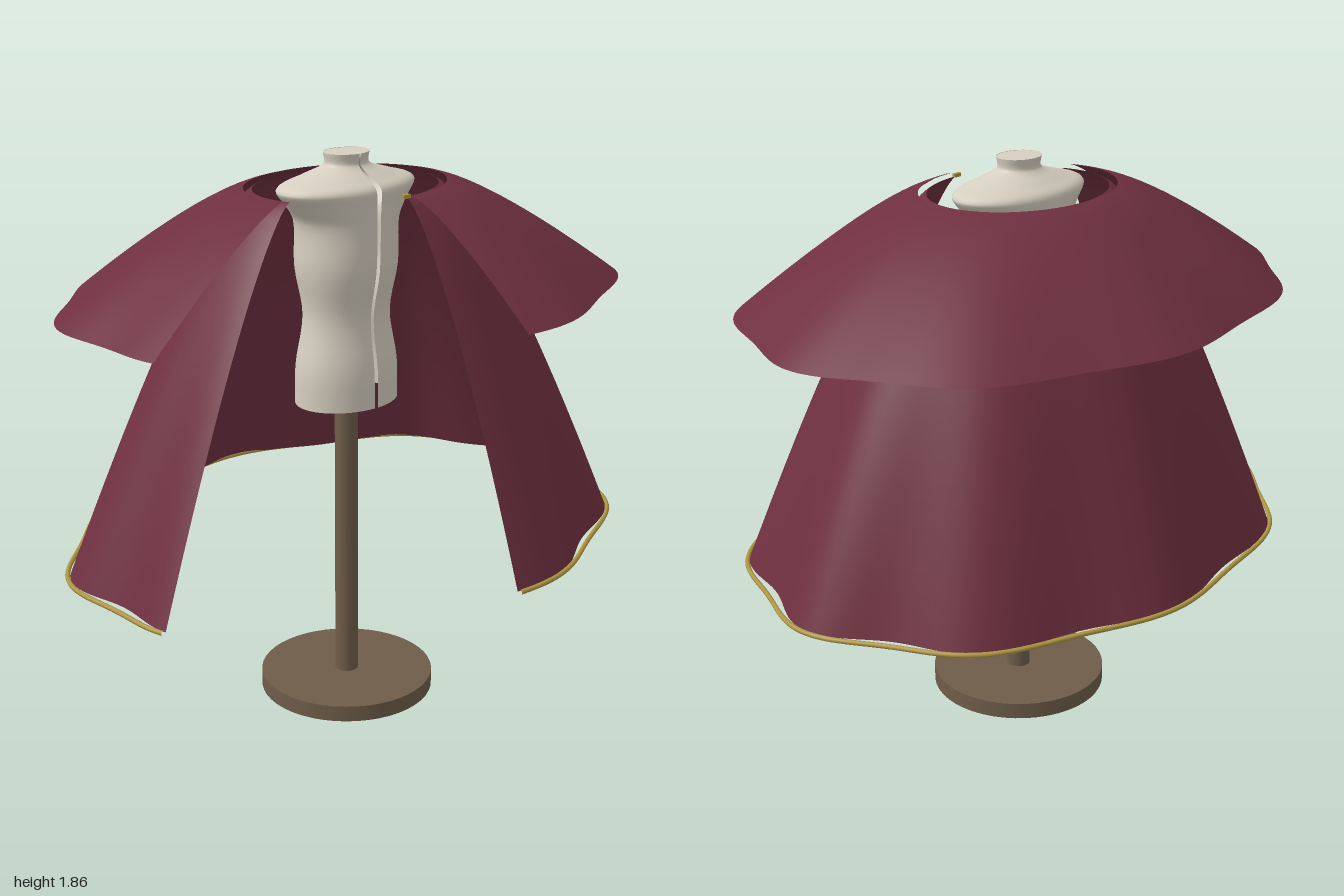
import * as THREE from 'three';

const CX = -0.02;         // stand axis
const SWEEP = 5.0;        // garment wraps from the front, round the left and back, to the right

const mat = (name, color, side = THREE.FrontSide) => {
  const m = new THREE.MeshStandardMaterial({ color, side });
  m.name = name;
  return m;
};

// Smooth sheet: point(s, t) with s running top to bottom and t the angle from the front
function sheet(point, sweep, cols, rows) {
  const pos = [], idx = [];
  for (let j = 0; j <= rows; j++) {
    for (let i = 0; i <= cols; i++) pos.push(...point(j / rows, (i / cols) * sweep));
  }
  for (let j = 0; j < rows; j++) {
    for (let i = 0; i < cols; i++) {
      const a = j * (cols + 1) + i, b = a + 1, c = a + cols + 1, d = c + 1;
      idx.push(a, c, b, b, c, d);
    }
  }
  const g = new THREE.BufferGeometry();
  g.setAttribute('position', new THREE.Float32BufferAttribute(pos, 3));
  g.setIndex(idx);
  g.computeVertexNormals();
  return g;
}

// Oval ring position
const oval = (a, b, y, t) => [CX + a * Math.sin(t), y, b * Math.cos(t)];
// Wavy hem factor
const wave = (t, mean, amp) => mean + amp * Math.sin(9 * t);

export function createModel() {
  const group = new THREE.Group();
  const cloth = mat('burgundy cloth', 0x6f3040, THREE.DoubleSide);
  const linen = mat('cream linen', 0xd6cec0, THREE.DoubleSide);
  const wood = mat('brown wood', 0x6e5c49);
  const gold = mat('gold trim', 0xae9642);

  const add = (name, geometry, material, x = 0, y = 0, z = 0) => {
    const m = new THREE.Mesh(geometry, material);
    m.name = name;
    m.position.set(x, y, z);
    group.add(m);
    return m;
  };

  // Stand
  add('standBase', new THREE.CylinderGeometry(0.295, 0.295, 0.055, 48), wood, CX, 0.0275, 0);
  add('standPole', new THREE.CylinderGeometry(0.039, 0.039, 1.1, 24), wood, CX, 0.6, 0);

  // Dress form: oval sections given as [half width, height, half depth]
  const form = new THREE.CatmullRomCurve3([
    [0.08, 1.862, 0.066], [0.077, 1.83, 0.062], [0.09, 1.818, 0.07],
    [0.18, 1.79, 0.115], [0.265, 1.758, 0.158], [0.225, 1.71, 0.157],
    [0.182, 1.65, 0.155], [0.18, 1.5, 0.152], [0.156, 1.34, 0.125],
    [0.184, 1.17, 0.145], [0.186, 1.045, 0.148],
  ].map(p => new THREE.Vector3(...p)), false, 'centripetal');
  const torso = (s, t) => {
    const p = form.getPoint(s);
    return oval(p.x, p.z, p.y, t);
  };
  // a narrow seam stays open at the front
  add('dressForm', sheet(torso, Math.PI * 2 - 0.08, 72, 50), linen);
  const cap = add('neckCap', new THREE.CircleGeometry(1, 40), linen, CX, 1.861, 0);
  cap.rotation.x = -Math.PI / 2;
  cap.scale.set(0.08, 0.066, 1);

  // Cloak: flares steeply from the neck, folds deepening towards the hem
  add('cloak', sheet((s, t) => {
    const d = s * s;                       // finer rows near the neck
    const k = Math.pow(d, 0.74);
    const f = wave(t, 1.012, 0.032 * d);
    return oval((0.32 + 0.64 * k) * f, (0.26 + 0.49 * k) * f, 1.755 - 1.163 * d, t);
  }, SWEEP, 180, 32), cloth);

  // Shoulder cape: nearly flat at the neck, then falling outwards
  add('shoulderCape', sheet((s, t) => {
    const f = wave(t, 1 + 0.03 * s, 0.02 * s);
    return oval((0.355 + 0.605 * s) * f, (0.285 + 0.46 * s) * f, 1.762 - 0.342 * Math.pow(s, 1.33), t);
  }, SWEEP, 180, 20), cloth);

  // Gold hem trim
  const hem = [];
  for (let i = 0; i <= 120; i++) {
    const t = (i / 120) * SWEEP, f = wave(t, 1.034, 0.02);
    hem.push(new THREE.Vector3(...oval(0.96 * f, 0.745 * f, 0.593, t)));
  }
  add('hemTrim', new THREE.TubeGeometry(new THREE.CatmullRomCurve3(hem), 240, 0.008, 8), gold);

  // Neck clasp
  add('clasp', new THREE.BoxGeometry(0.03, 0.012, 0.012), gold, CX - 0.005, 1.757, 0.268);

  return group;
}
